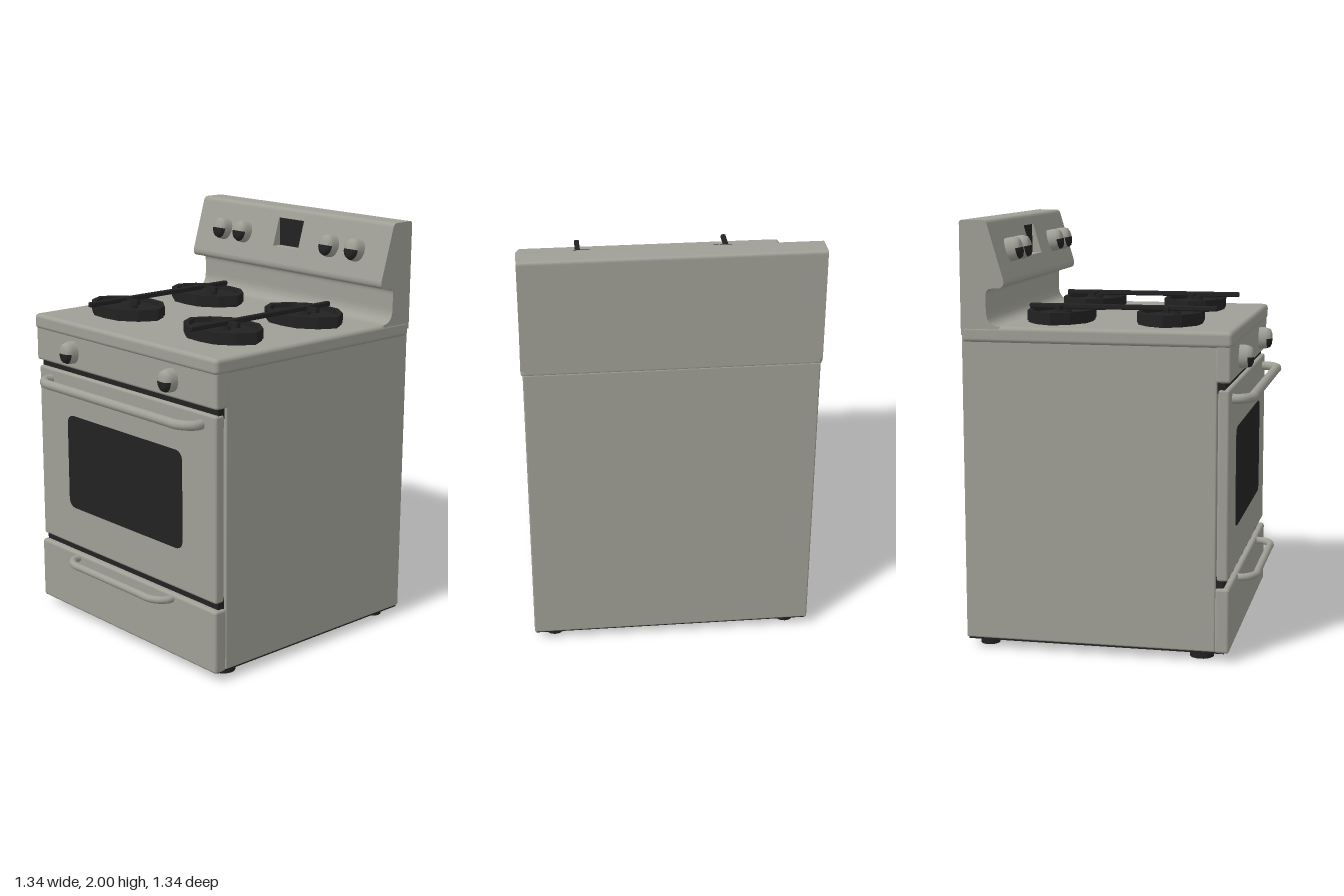
import * as THREE from 'three';
import { RoundedBoxGeometry } from 'three/addons/geometries/RoundedBoxGeometry.js';

export function createModel() {
  const model = new THREE.Group();
  model.name = 'kitchenRange';
  const steel = new THREE.MeshStandardMaterial({ color: 0x9f9f96 });
  const black = new THREE.MeshStandardMaterial({ color: 0x222222 });
  steel.name = 'warm grey steel';
  black.name = 'black enamel';

  const add = (name, geometry, material, parent = model) => {
    const mesh = new THREE.Mesh(geometry, material);
    mesh.name = name;
    parent.add(mesh);
    return mesh;
  };
  // Box given by its limits, with optional rounded edges
  const box = (name, x0, x1, y0, y1, z0, z1, material, r = 0) => {
    const size = [x1 - x0, y1 - y0, z1 - z0];
    const g = r ? new RoundedBoxGeometry(...size, 3, r) : new THREE.BoxGeometry(...size);
    g.translate((x0 + x1) / 2, (y0 + y1) / 2, (z0 + z1) / 2);
    return add(name, g, material);
  };

  // Cabinet, black underside and front gaps
  box('cabinet', -0.663, 0.663, 0.048, 1.46, -0.67, 0.51, steel, 0.008);
  box('underside', -0.655, 0.655, 0.04, 0.049, -0.66, 0.55, black);
  box('upperGap', -0.65, 0.65, 1.24, 1.31, 0.5, 0.545, black);
  box('lowerGap', -0.65, 0.65, 0.33, 0.4, 0.5, 0.545, black);

  // Front panels and cooktop
  box('controlPanel', -0.666, 0.666, 1.29, 1.46, 0.5, 0.57, steel, 0.012);
  box('ovenDoor', -0.656, 0.656, 0.38, 1.26, 0.512, 0.565, steel, 0.012);
  box('drawer', -0.663, 0.663, 0.042, 0.348, 0.505, 0.573, steel, 0.014);
  box('cooktop', -0.672, 0.672, 1.445, 1.52, -0.67, 0.577, steel, 0.02);

  // Oven window: thin rounded plate
  const pane = new THREE.Shape();
  const w = 0.428, b = 0.58, t = 1.052, r = 0.05;
  pane.moveTo(-w + r, b).lineTo(w - r, b).quadraticCurveTo(w, b, w, b + r)
    .lineTo(w, t - r).quadraticCurveTo(w, t, w - r, t)
    .lineTo(-w + r, t).quadraticCurveTo(-w, t, -w, t - r)
    .lineTo(-w, b + r).quadraticCurveTo(-w, b, -w + r, b);
  const paneGeo = new THREE.ExtrudeGeometry(pane, { depth: 0.006, bevelEnabled: false, curveSegments: 6 });
  add('ovenWindow', paneGeo.translate(0, 0, 0.562), black);

  // Backsplash: side profile (z, y) run along x, notched in the middle for the display
  const backsplash = (name, x0, x1, notched) => {
    const s = new THREE.Shape();
    s.moveTo(-0.67, 1.48).lineTo(-0.49, 1.48).lineTo(-0.49, 1.52)
      .quadraticCurveTo(-0.55, 1.525, -0.55, 1.59).lineTo(-0.55, 1.66)
      .quadraticCurveTo(-0.55, 1.69, -0.525, 1.692).lineTo(-0.485, 1.695)
      .quadraticCurveTo(-0.462, 1.7, -0.466, 1.73);
    if (notched) s.lineTo(-0.489, 1.81).lineTo(-0.54, 1.81).lineTo(-0.54, 1.95).lineTo(-0.53, 1.95);
    s.lineTo(-0.539, 1.98).quadraticCurveTo(-0.545, 2, -0.565, 2)
      .lineTo(-0.655, 2).quadraticCurveTo(-0.67, 2, -0.67, 1.985);
    const g = new THREE.ExtrudeGeometry(s, { depth: x1 - x0, bevelEnabled: false, curveSegments: 8 });
    add(name, g.rotateY(-Math.PI / 2).translate(x1, 0, 0), steel);
  };
  backsplash('backsplashRight', -0.67, -0.088, false);
  backsplash('backsplashMiddle', -0.088, 0.088, true);
  backsplash('backsplashLeft', 0.088, 0.67, false);
  box('display', -0.088, 0.088, 1.811, 1.949, -0.545, -0.536, black);

  // Knobs: tapered skirt with a rounded cap whose lower half is black
  const turned = (points, start, length) => new THREE.LatheGeometry(
    points.map(p => new THREE.Vector2(...p)), 20, start, length).rotateX(Math.PI / 2);
  const skirt = [[0.044, -0.015], [0.044, 0.03], [0.041, 0.045]];
  const cap = [[0.041, 0.045], [0.036, 0.06], [0.024, 0.067], [0, 0.069]];
  const knob = (name, x, y, z, tilt) => {
    const g = new THREE.Group();
    g.name = name;
    add('knobSkirt', turned(skirt, 0, Math.PI * 2), steel, g);
    add('knobCapUpper', turned(cap, Math.PI / 2, Math.PI), steel, g);
    add('knobCapLower', turned(cap, -Math.PI / 2, Math.PI), black, g);
    g.position.set(x, y, z);
    g.rotation.x = -tilt;
    g.scale.set(1, 1.25, 1);
    model.add(g);
  };
  for (const x of [-0.455, -0.305, 0.31, 0.48]) knob('backKnob', x, 1.855, -0.503, 0.2);
  for (const x of [-0.367, 0.367]) knob('frontKnob', x, 1.375, 0.566, 0);

  // Bar handles bent back into the door and drawer
  const handle = (name, half, y, radius, zOut) => {
    const side = [[half, 0.55], [half, 0.595], [half - 0.02, zOut - 0.025], [half - 0.07, zOut], [half - 0.14, zOut]];
    const path = [...side.map(([x, z]) => [-x, z]), ...side.slice().reverse()];
    const curve = new THREE.CatmullRomCurve3(path.map(([x, z]) => new THREE.Vector3(x, y, z)));
    add(name, new THREE.TubeGeometry(curve, 64, radius, 12), steel);
  };
  handle('doorHandle', 0.558, 1.207, 0.023, 0.647);
  handle('drawerHandle', 0.357, 0.325, 0.018, 0.65);

  // Burners: pointed oval pans with a raised rim
  const outline = k => [[1, 0], [0.8, 0.54], [0.42, 0.94], [0, 1], [-0.42, 0.94], [-0.8, 0.54],
    [-1, 0], [-0.8, -0.54], [-0.42, -0.94], [0, -1], [0.42, -0.94], [0.8, -0.54]]
    .map(([x, y]) => new THREE.Vector2(x * 0.228 * k, y * 0.152 * k));
  const slab = (shape, y, depth) => new THREE.ExtrudeGeometry(shape, { depth, bevelEnabled: false })
    .rotateX(-Math.PI / 2).translate(0, y, 0);
  for (const s of [-1, 1]) {
    for (const z of [-0.275, 0.245]) {
      const burner = new THREE.Group();
      burner.name = 'burner';
      add('burnerPan', slab(new THREE.Shape(outline(0.97)), 1.515, 0.04), black, burner);
      const rim = new THREE.Shape(outline(1));
      rim.holes.push(new THREE.Path(outline(0.87).reverse()));
      add('burnerRim', slab(rim, 1.53, 0.047), black, burner);
      add('burnerCap', new THREE.CylinderGeometry(0.035, 0.045, 0.03, 16).translate(-0.01 * s, 1.57, 0), black, burner);
      burner.position.set(s * 0.347, 0, z);
      model.add(burner);
      // Short cross bar of the grate
      const zc = z < 0 ? -0.275 : 0.235;
      box('grateCrossBar', s * 0.36 - 0.083, s * 0.36 + 0.083, 1.575, 1.597, zc - 0.011, zc + 0.011, black);
    }
    // Long grate bar joining both burners
    box('grateBar', s * 0.369 - 0.012, s * 0.369 + 0.012, 1.579, 1.603, -0.425, 0.465, black, 0.006);
    // Feet
    for (const [z, radius] of [[0.435, 0.056], [-0.583, 0.045]]) {
      add('foot', new THREE.CylinderGeometry(radius, radius, 0.048, 20).translate(s * 0.565, 0.024, z), black);
    }
  }
  return model;
}
